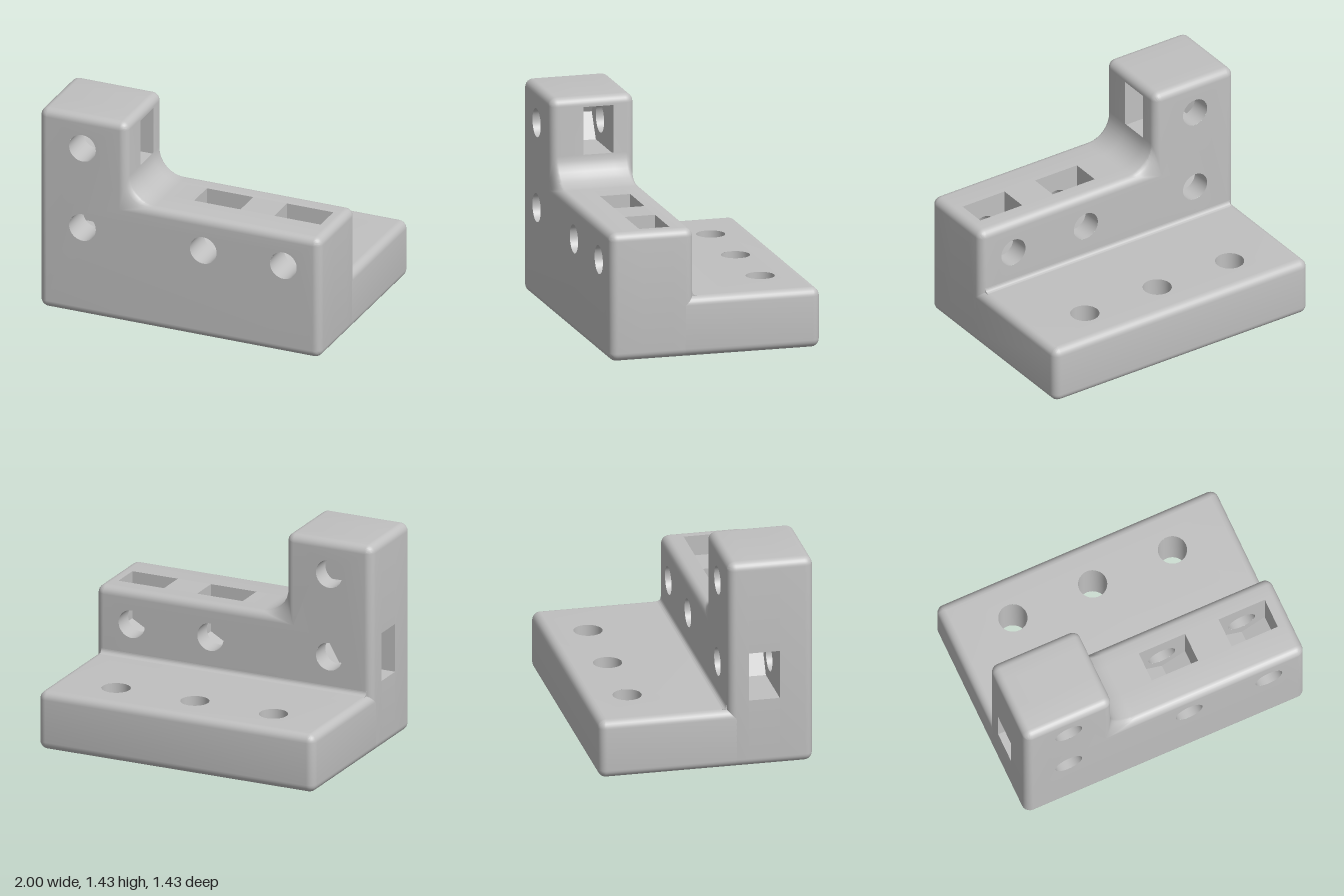
import * as THREE from 'three';
import { mergeGeometries, toCreasedNormals } from 'three/addons/utils/BufferGeometryUtils.js';

const EDGE = 0.055;          // rounding of the outer edges
const HOLE = 0.095;          // bore radius
const BACK = 0.145, FRONT = 0.715; // wall faces in z
const SLOT_Z = [0.285, 0.49];      // pocket depth range

// counter-clockwise right-angled outline, inset inwards; extras are inserted after a corner
function outline(corners, inset, fillet = 0, extras = {}) {
  const pts = [], n = corners.length, steps = 8;
  corners.forEach(([x, y], i) => {
    const [px, py] = corners[(i + n - 1) % n], [qx, qy] = corners[(i + 1) % n];
    const u = new THREE.Vector2(x - px, y - py).normalize();
    const v = new THREE.Vector2(qx - x, qy - y).normalize();
    const nu = new THREE.Vector2(u.y, -u.x), nv = new THREE.Vector2(v.y, -v.x);
    const sum = nu.clone().add(nv);
    const s = u.cross(v) > 0 ? 1 : -1;
    const r = Math.max(s > 0 ? EDGE - inset : fillet, 0.001);
    const c = new THREE.Vector2(x, y).addScaledVector(sum, -inset - s * r);
    for (let k = 0; k <= steps; k++) {
      const a = (k / steps) * Math.PI / 2;
      pts.push(c.clone().addScaledVector(nu, s * r * Math.cos(a)).addScaledVector(nv, s * r * Math.sin(a)));
    }
    if (extras[i]) pts.push(...extras[i]);
  });
  return pts;
}

// side surface through a stack of equal-length loops
function loft(levels) {
  const pos = [], idx = [], n = levels[0].pts.length;
  levels.forEach(({ pts, z }) => pts.forEach(p => pos.push(p.x, p.y, z)));
  for (let i = 0; i < levels.length - 1; i++) {
    for (let j = 0; j < n; j++) {
      const a = i * n + j, b = i * n + (j + 1) % n;
      idx.push(a, b, b + n, a, b + n, a + n);
    }
  }
  const g = new THREE.BufferGeometry();
  g.setAttribute('position', new THREE.Float32BufferAttribute(pos, 3));
  g.setIndex(idx);
  return g;
}

function flip(g) {
  const a = g.index.array;
  for (let i = 0; i < a.length; i += 3) [a[i], a[i + 1]] = [a[i + 1], a[i]];
  return g;
}

// flat face with round holes, facing +z or -z
function cap(pts, z, facing, holes) {
  const shape = new THREE.Shape(pts);
  for (const [x, y] of holes) shape.holes.push(new THREE.Path().absarc(x, y, HOLE, 0, Math.PI * 2, true));
  const g = new THREE.ShapeGeometry(shape, 48).translate(0, 0, z);
  return facing > 0 ? g : flip(g);
}

// inside surface of a round hole along z
function bore([x, y], z0, z1) {
  const g = new THREE.CylinderGeometry(HOLE, HOLE, z1 - z0, 48, 1, true);
  return flip(g).rotateX(Math.PI / 2).translate(x, y, (z0 + z1) / 2);
}

// loops of a rounded edge, from the end face at z to the full outline
function roundedEdge(corners, z, dir, fillet) {
  return Array.from({ length: 8 }, (_, i) => {
    const a = (i / 7) * Math.PI / 2;
    return {
      pts: outline(corners, EDGE * (1 - Math.sin(a)), fillet * Math.sin(a)),
      z: z + dir * EDGE * (1 - Math.cos(a)),
    };
  });
}

// pocket with a pointed end that holds a six-sided nut, open in direction (nx, ny)
function pocket([cx, cy], nx, ny, reach) {
  const w = 0.165, R = w / Math.cos(Math.PI / 6);
  return [[-w, reach], [-w, -R / 2], [0, -R], [w, -R / 2], [w, reach]].map(
    ([t, d]) => new THREE.Vector2(cx - ny * t + nx * d, cy + nx * t + ny * d));
}

function finish(parts) {
  const clean = parts.map(p => {
    const g = p.index ? p.toNonIndexed() : p;
    g.deleteAttribute('uv');
    g.deleteAttribute('normal');
    return g;
  });
  return toCreasedNormals(mergeGeometries(clean), 0.5);
}

export function createModel() {
  const group = new THREE.Group();
  const grey = new THREE.MeshStandardMaterial({ color: 0xc0c0c0 });
  grey.name = 'light grey';
  const add = (name, parts) => {
    const mesh = new THREE.Mesh(finish(parts), grey);
    mesh.name = name;
    group.add(mesh);
  };

  // stepped wall with a tower at one end
  const wall = [[-1, 0], [1, 0], [1, 0.86], [-0.375, 0.86], [-0.375, 1.43], [-1, 1.43]];
  const fillet = 0.185;
  const holes = [[-0.69, 1.2], [-0.69, 0.63], [0.17, 0.63], [0.74, 0.63]];
  const pockets = [
    pocket(holes[0], 1, 0, 0.315),
    pocket(holes[1], -1, 0, 0.31),
    pocket(holes[2], 0, 1, 0.23),
    pocket(holes[3], 0, 1, 0.23),
  ];
  const back = roundedEdge(wall, BACK, 1, fillet);
  const front = roundedEdge(wall, FRONT, -1, fillet).reverse();
  const full = outline(wall, 0, fillet);
  const slotted = outline(wall, 0, fillet, {
    2: [...pockets[3], ...pockets[2]], 3: pockets[0], 5: pockets[1],
  });
  add('wall', [
    cap(back[0].pts, BACK, -1, holes),
    loft([...back, { pts: full, z: SLOT_Z[0] }]),
    loft(SLOT_Z.map(z => ({ pts: slotted, z }))),
    loft([{ pts: full, z: SLOT_Z[1] }, ...front]),
    cap(front[front.length - 1].pts, FRONT, 1, holes),
  ]);

  // flat ends of the nut pockets and the bores crossing them
  add('nutPocketFaces', pockets.flatMap((p, i) => [
    cap(p, SLOT_Z[0], 1, [holes[i]]), cap(p, SLOT_Z[1], -1, [holes[i]]),
  ]));
  add('wallBores', holes.flatMap(h => [bore(h, BACK, SLOT_Z[0]), bore(h, SLOT_Z[1], FRONT)]));

  // base plate, drawn flat and laid down; its front end runs into the wall
  const base = [[-1, -0.26], [1, -0.26], [1, 0.715], [-1, 0.715]];
  const baseHoles = [-0.57, 0, 0.57].map(x => [x, 0.43]);
  const bottom = roundedEdge(base, 0, 1, 0), top = roundedEdge(base, 0.4, -1, 0).reverse();
  const layDown = g => g.rotateX(-Math.PI / 2);
  add('basePlate', [
    cap(bottom[0].pts, 0, -1, baseHoles),
    loft([...bottom, ...top]),
    cap(top[top.length - 1].pts, 0.4, 1, baseHoles),
  ].map(layDown));
  add('baseBores', baseHoles.map(h => layDown(bore(h, 0, 0.4))));

  // small fillet between base and wall
  const f = new THREE.Shape();
  f.moveTo(-0.15, 0.395);
  f.lineTo(-0.115, 0.395);
  f.absarc(-0.115, 0.43, 0.03, -Math.PI / 2, -Math.PI, true);
  f.lineTo(-0.15, 0.43);
  add('innerFillet', [
    new THREE.ExtrudeGeometry(f, { depth: 1.92, bevelEnabled: false, curveSegments: 6 })
      .translate(0, 0, -0.96).rotateY(Math.PI / 2),
  ]);

  return group;
}
